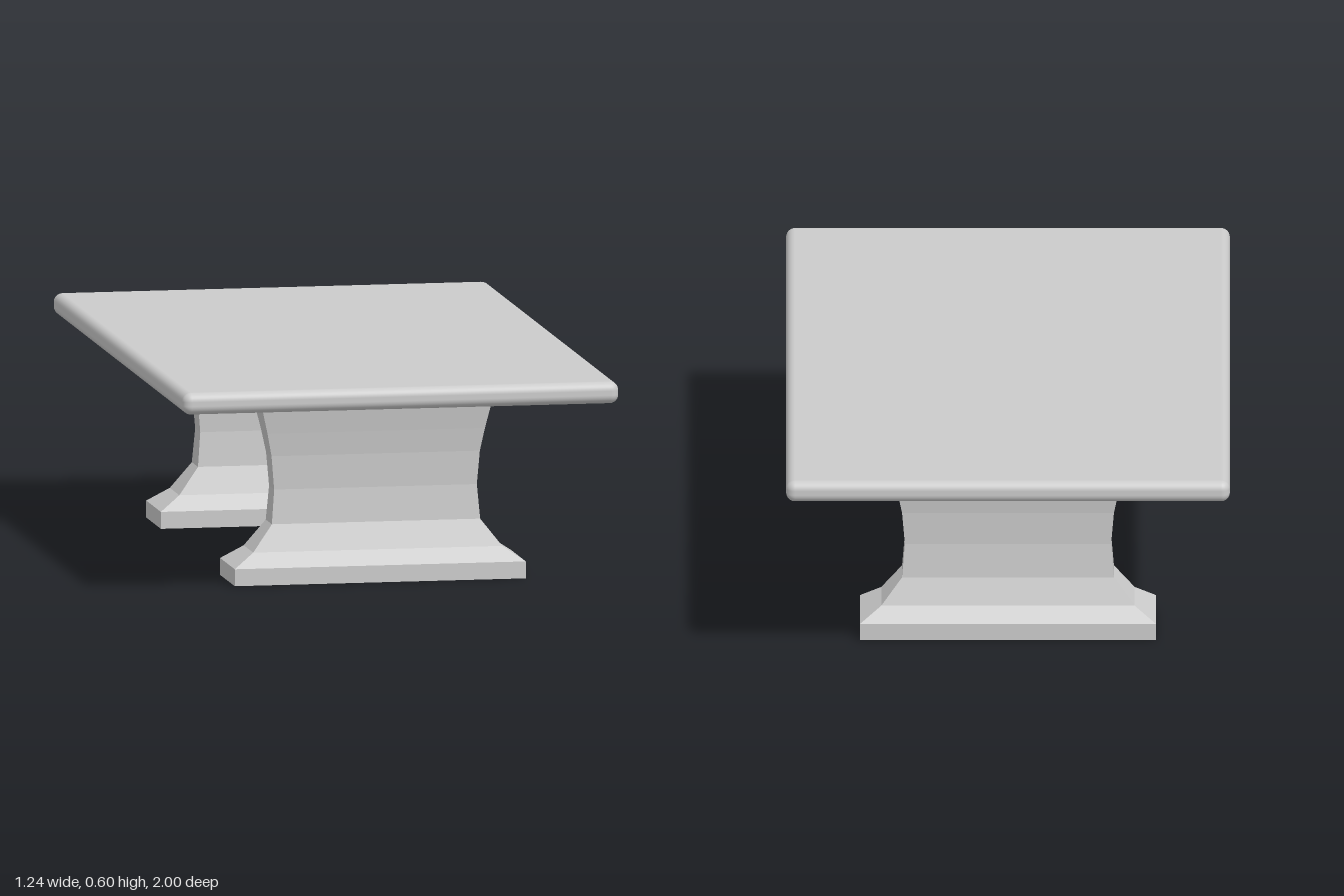
import * as THREE from 'three';
import { RoundedBoxGeometry } from 'three/addons/geometries/RoundedBoxGeometry.js';

// Pedestal cross-sections from floor to top: [height, half width, half depth]
const SECTIONS = [
  [0, 0.415, 0.112], [0.048, 0.415, 0.112], [0.088, 0.355, 0.073],
  [0.163, 0.297, 0.047], [0.26, 0.289, 0.039], [0.355, 0.297, 0.042],
  [0.42, 0.31, 0.05], [0.488, 0.326, 0.06], [0.54, 0.326, 0.06],
];

// A box whose rows of vertices are moved out to the cross-sections
function pedestalGeometry() {
  const rows = SECTIONS.length - 1;
  const geometry = new THREE.BoxGeometry(2, 1, 2, 1, rows, 1);
  const pos = geometry.attributes.position;
  for (let i = 0; i < pos.count; i++) {
    const [y, w, d] = SECTIONS[Math.round((pos.getY(i) + 0.5) * rows)];
    pos.setXYZ(i, Math.sign(pos.getX(i)) * w, y, Math.sign(pos.getZ(i)) * d);
  }
  geometry.computeVertexNormals();
  return geometry;
}

export function createModel() {
  const group = new THREE.Group();
  group.name = 'table';

  // Slab with rounded edges
  const top = new THREE.Mesh(
    new RoundedBoxGeometry(1.244, 0.062, 2, 4, 0.025),
    new THREE.MeshStandardMaterial({ color: 0xcccccc })
  );
  top.name = 'tableTop';
  top.position.y = 0.566;
  group.add(top);

  // Two flared pedestals
  const geometry = pedestalGeometry();
  const material = new THREE.MeshStandardMaterial({ color: 0xcccccc, flatShading: true });
  for (const side of [1, -1]) {
    const pedestal = new THREE.Mesh(geometry, material);
    pedestal.name = side > 0 ? 'frontPedestal' : 'backPedestal';
    pedestal.position.z = side * 0.563;
    group.add(pedestal);
  }
  return group;
}
